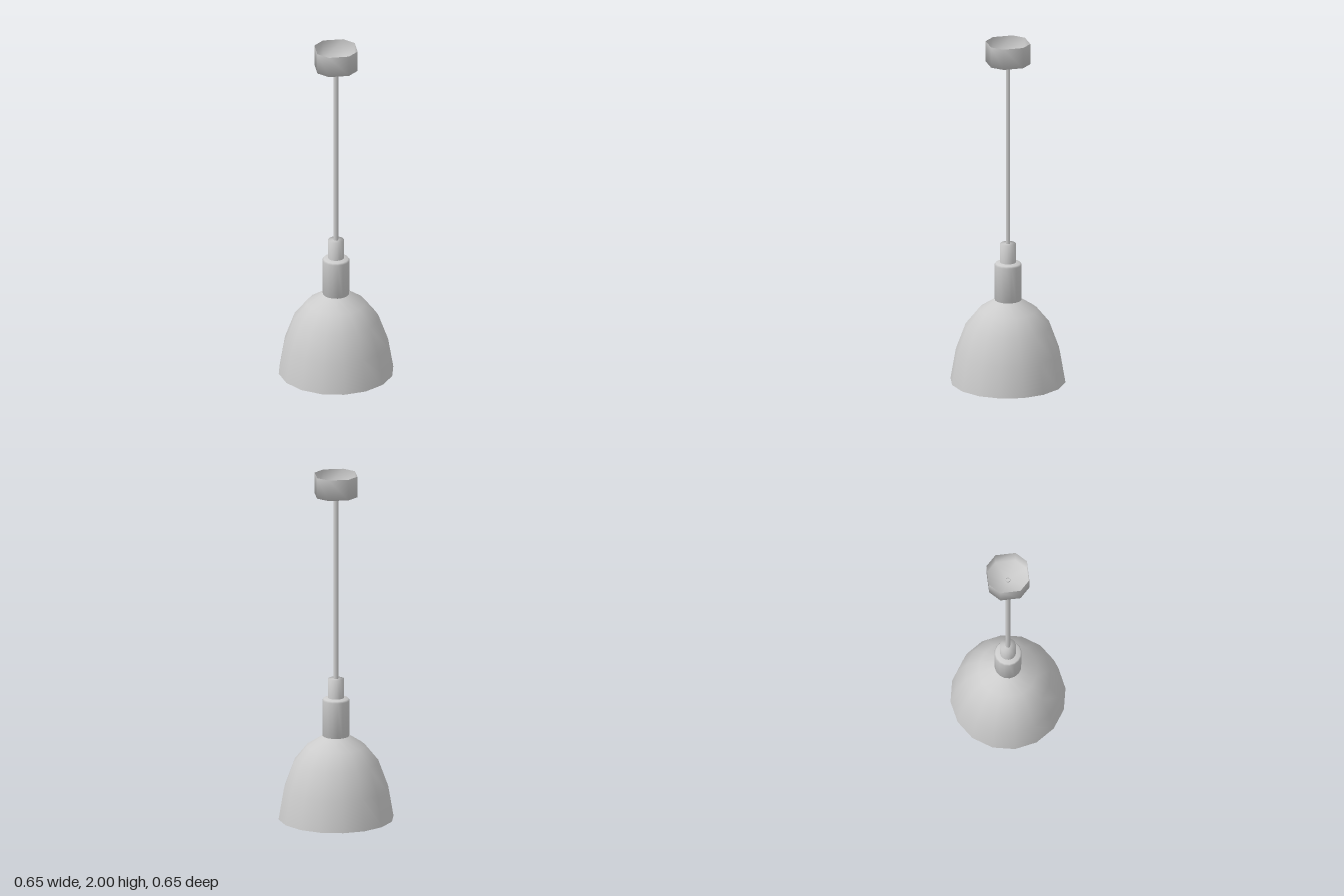
import * as THREE from 'three';

const material = new THREE.MeshStandardMaterial({ color: 0xcccccc, side: THREE.DoubleSide });

// Turned part from [radius, height] pairs, listed so the outside runs upwards
function turned(name, profile, segments, phiStart = 0) {
  const points = profile.map(([r, y]) => new THREE.Vector2(r, y));
  const mesh = new THREE.Mesh(new THREE.LatheGeometry(points, segments, phiStart), material);
  mesh.name = name;
  return mesh;
}

export function createModel() {
  const lamp = new THREE.Group();
  lamp.name = 'pendantLamp';

  // Thin-walled shade: down the inside, round the rim, up the outside
  const outer = [[0.325, 0], [0.295, 0.175], [0.239, 0.328], [0.165, 0.42], [0.073, 0.48]];
  const inner = outer.map(([r, y]) => [r - 0.007, y && y - 0.005]).reverse();
  lamp.add(turned('shade', [...inner, ...outer], 16));

  // Stepped lamp holder above the shade
  lamp.add(turned('holder', [[0, 0.475], [0.075, 0.475], [0.077, 0.685], [0.07, 0.695], [0.045, 0.7]], 16));
  lamp.add(turned('holderCap', [[0.045, 0.69], [0.045, 0.81], [0, 0.81]], 16));

  // Bulb inside the shade
  lamp.add(turned('bulb', [
    [0, 0.18], [0.035, 0.19], [0.06, 0.215], [0.068, 0.25],
    [0.058, 0.29], [0.035, 0.34], [0.03, 0.39], [0.03, 0.476],
  ], 12));

  // Hanging rod
  const rod = new THREE.Mesh(new THREE.CylinderGeometry(0.013, 0.013, 1.09, 8, 1, true), material);
  rod.name = 'rod';
  rod.position.y = 1.345;
  lamp.add(rod);

  // Ceiling cup, open at the top; its plan is a square with cut corners
  const canopy = turned('canopy', [[0, 1.88], [0.125, 1.88], [0.125, 2]], 8, Math.PI / 8);
  const pos = canopy.geometry.attributes.position;
  const snap = (v) => Math.sign(v) * (Math.abs(v) > 0.08 ? 0.114 : 0.057);
  for (let i = 0; i < pos.count; i++) {
    if (Math.hypot(pos.getX(i), pos.getZ(i)) < 0.01) continue;
    pos.setX(i, snap(pos.getX(i)));
    pos.setZ(i, snap(pos.getZ(i)));
  }
  lamp.add(canopy);

  return lamp;
}
